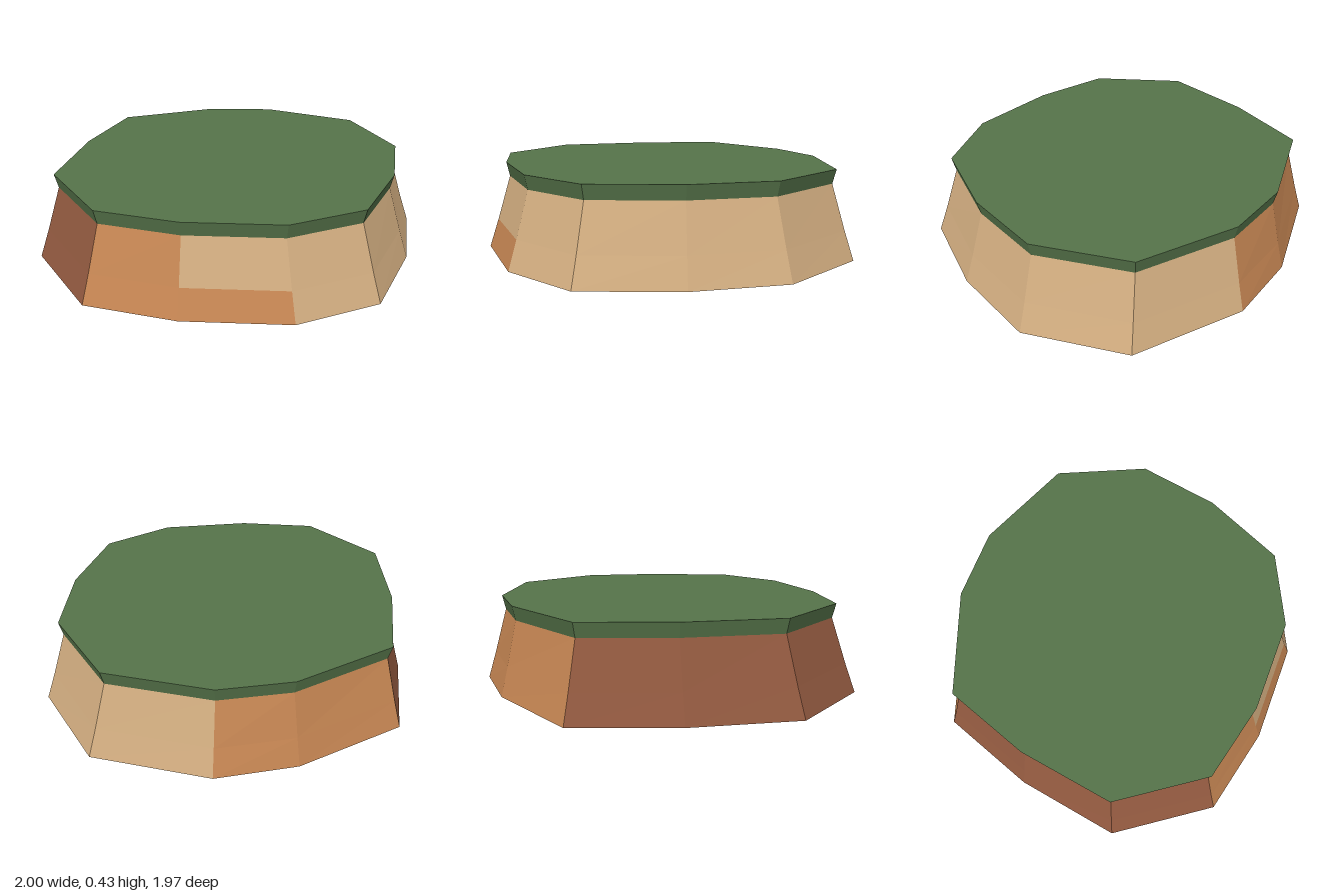
import * as THREE from 'three';

// Irregular twelve-sided outlines [x, z], starting at the back and going round via +x
const FOOT = [[-0.02, -0.99], [0.49, -0.74], [0.78, -0.47], [1, 0.07], [0.81, 0.55], [0.43, 0.81],
  [-0.02, 0.98], [-0.42, 0.83], [-0.77, 0.46], [-1, 0.07], [-0.9, -0.46], [-0.475, -0.77]];
const RIM = [[-0.02, -0.9], [0.455, -0.68], [0.705, -0.43], [0.9, 0.045], [0.73, 0.485], [0.39, 0.72],
  [-0.02, 0.87], [-0.38, 0.735], [-0.695, 0.4], [-0.895, 0.055], [-0.805, -0.42], [-0.42, -0.705]];
const N = FOOT.length;

function paint(name, hex) {
  const m = new THREE.MeshStandardMaterial({ color: hex, side: THREE.DoubleSide });
  m.name = name;
  return m;
}

// Unshared corners give every facet its own flat normal
function facetMesh(name, triangles, material) {
  const g = new THREE.BufferGeometry();
  g.setAttribute('position', new THREE.Float32BufferAttribute(triangles.flat(), 3));
  g.computeVertexNormals();
  const mesh = new THREE.Mesh(g, material);
  mesh.name = name;
  return mesh;
}

// Outward-facing wall panel between two rings, on side i
function panel(lower, upper, i) {
  const j = (i + 1) % N;
  return [lower[j], lower[i], upper[i], lower[j], upper[i], upper[j]];
}

export function createModel() {
  const group = new THREE.Group();
  group.name = 'plateau';
  const sand = paint('sand', 0xd2ad80);
  const clay = paint('clay', 0xc68653);
  const redEarth = paint('red earth', 0x935a40);
  const grass = paint('grass', 0x56744a);

  // Rings from the ground to the top; the wall flares slightly at its foot
  const foot = FOOT.map(([x, z]) => [x, 0, z]);
  const ledge = RIM.map(([x, z]) => [x * 0.98, 0.36, z * 0.98]);
  const middle = foot.map((p, i) => [
    THREE.MathUtils.lerp(p[0], ledge[i][0], 0.41), 0.14,
    THREE.MathUtils.lerp(p[2], ledge[i][2], 0.41)]);
  const rim = RIM.map(([x, z]) => [x, 0.43, z]);

  // Earth walls: one colour per side for each of the two courses
  const s = sand, c = clay, r = redEarth;
  const lowerColours = [c, c, s, s, s, s, s, c, c, r, r, r];
  const upperColours = [c, c, s, s, s, s, s, s, c, r, r, r];
  for (const material of [sand, clay, redEarth]) {
    const triangles = [];
    for (let i = 0; i < N; i++) {
      if (lowerColours[i] === material) triangles.push(...panel(foot, middle, i));
      if (upperColours[i] === material) triangles.push(...panel(middle, ledge, i));
    }
    group.add(facetMesh(`${material.name} wall`, triangles, material));
  }

  // Overhanging grass edge and flat top; the underside is open
  const edge = [], top = [];
  for (let i = 0; i < N; i++) {
    edge.push(...panel(ledge, rim, i));
    top.push([0, 0.43, 0], rim[(i + 1) % N], rim[i]);
  }
  group.add(facetMesh('grass edge', edge, grass), facetMesh('grass top', top, grass));
  return group;
}
